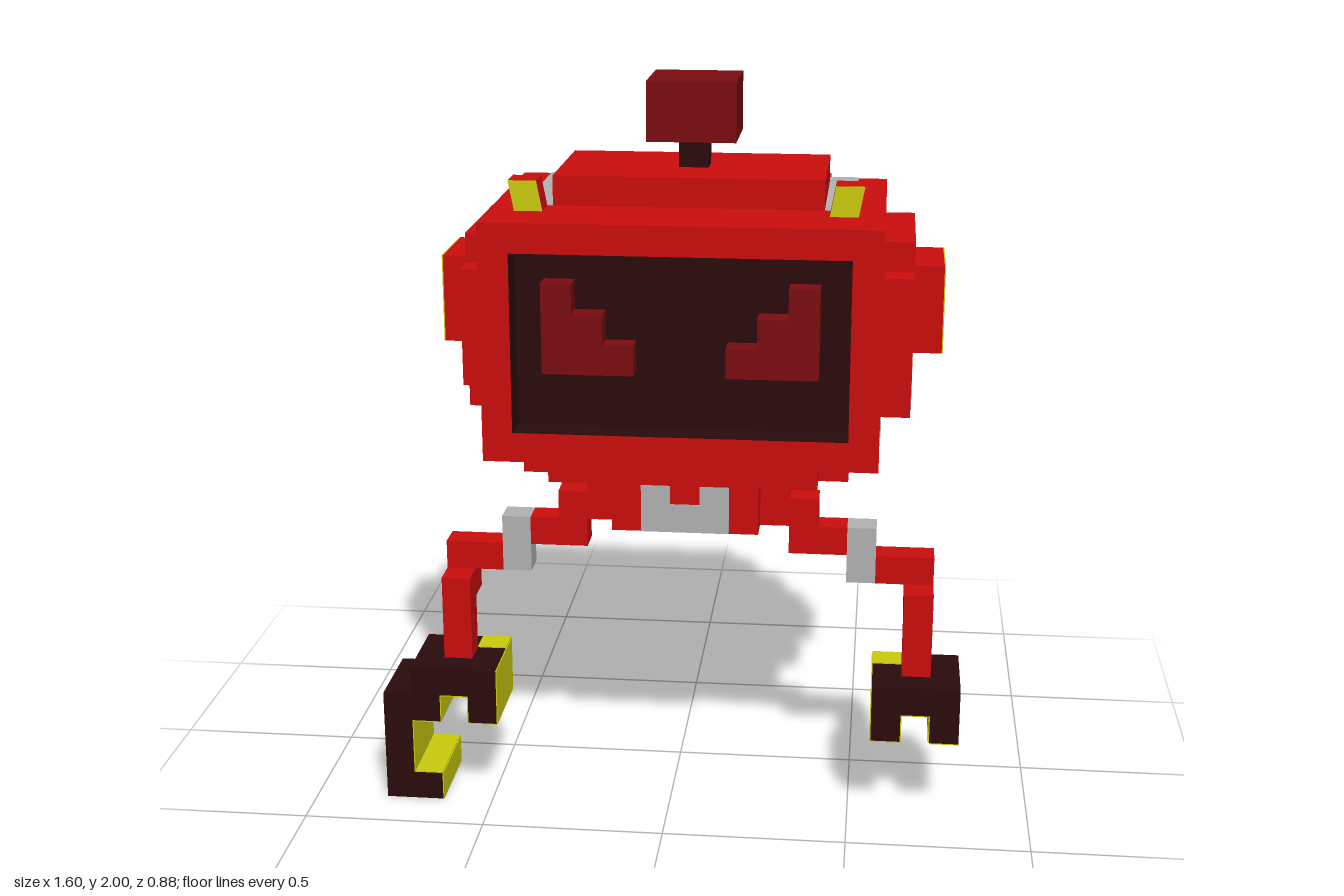
import * as THREE from 'three';

const mat = (color) => new THREE.MeshStandardMaterial({ color });
const red = mat(0xcc0d0d), dark = mat(0x2a0b0c), maroon = mat(0x7a0c10);
const yellow = mat(0xcccc0d), grey = mat(0xb3b3b3);
const E = 0.003; // thickness of painted panels
const CX = 0.04; // mirror plane of the body

export function createModel() {
  const model = new THREE.Group();
  let parent = model;

  const part = (name) => {
    parent = new THREE.Group();
    parent.name = name;
    model.add(parent);
  };
  // Box given by its limits on each axis
  const box = (name, material, [x0, x1], [y0, y1], [z0, z1]) => {
    const g = new THREE.BoxGeometry(x1 - x0, y1 - y0, z1 - z0);
    g.translate((x0 + x1) / 2, (y0 + y1) / 2, (z0 + z1) / 2);
    const m = new THREE.Mesh(g, material);
    m.name = name;
    parent.add(m);
    return m;
  };
  // Range centred on the mirror plane
  const wide = (h) => [CX - h, CX + h];
  // Range on one side, measured outward from the mirror plane
  const out = (s, a, b) => (s > 0 ? [CX + a, CX + b] : [CX - b, CX - a]);

  // Stepped head shell
  part('head');
  box('headCore', red, wide(0.52), [1.04, 1.6], [-0.36, 0.36]);
  box('headTop', red, wide(0.52), [1.6, 1.68], [-0.28, 0.36]);
  box('headTopRear', red, wide(0.36), [1.6, 1.68], [-0.36, -0.28]);
  box('backPanel', red, wide(0.44), [1.04, 1.6], [-0.44, -0.36]);
  box('sideSwellTall', red, wide(0.6), [1.12, 1.6], [-0.2, 0.2]);
  box('sideSwellWide', red, wide(0.6), [1.2, 1.52], [-0.28, 0.28]);
  box('ears', red, wide(0.68), [1.28, 1.52], [-0.12, 0.12]);
  box('roofSlab', red, wide(0.36), [1.68, 1.76], [-0.2, 0.2]);
  for (const s of [-1, 1])
    box('earPanel', yellow, out(s, 0.68, 0.68 + E), [1.28, 1.52], [-0.12, 0.12]);

  // Screen, its frame and eyes
  part('face');
  const rim = [0.36, 0.44];
  box('frameTop', red, wide(0.52), [1.6, 1.68], rim);
  box('frameBottom', red, wide(0.52), [1.04, 1.12], rim);
  box('screen', dark, wide(0.44), [1.12, 1.6], [0.36, 0.36 + E]);
  for (const y of [1.12, 1.6 - E]) box('screenLiner', dark, wide(0.44), [y, y + E], rim);
  for (const s of [-1, 1]) {
    box('frameSide', red, out(s, 0.44, 0.52), [1.12, 1.6], rim);
    box('screenLiner', dark, out(s, 0.44 - E, 0.44), [1.12, 1.6], rim);
    for (let i = 0; i < 3; i++)
      box('eyeStep', maroon, out(s, 0.12 + i * 0.08, 0.2 + i * 0.08), [1.28, 1.36 + i * 0.08], [0.36, 0.43]);
  }

  // Stepped underside
  part('lowerBody');
  box('upperTier', red, wide(0.44), [0.96, 1.04], [-0.28, 0.28]);
  box('upperTierLong', red, wide(0.36), [0.96, 1.04], [-0.36, 0.36]);
  box('lowerTier', red, wide(0.28), [0.8, 0.96], [-0.2, 0.2]);
  box('lowerTierLong', red, wide(0.2), [0.8, 0.96], [-0.28, 0.28]);

  // Grey stripes wrapping around sides and underside
  part('stripes');
  const tiers = [[0.6, 1.12, 1.28], [0.52, 1.04, 1.12], [0.44, 0.96, 1.04], [0.28, 0.8, 0.96]];
  for (const z of [-0.12, 0.04])
    for (const [h, y0, y1] of tiers)
      box('sideStripe', grey, wide(h + E), [y0 - E, y1], [z, z + 0.08]);
  // Arch and bars on the back
  const back = [-0.44 - E, -0.36];
  box('backArchTop', grey, wide(0.28), [1.44, 1.52], back);
  for (const s of [-1, 0, 1]) {
    const x = [CX + s * 0.24 - 0.04, CX + s * 0.24 + 0.04];
    const rear = s ? -0.2 : -0.28;
    box('backStripe', grey, x, [1.04 - E, s ? 1.44 : 1.36], back);
    box('backStripe', grey, x, [0.96 - E, 1.04], [-0.36 - E, rear]);
    box('backStripe', grey, x, [0.8, 0.96], [rear - E, rear + 0.02]);
  }
  // Chin badge
  box('chinBar', grey, wide(0.12), [0.8, 0.88], [0.27, 0.28 + E]);
  for (const s of [-1, 1]) {
    box('chinPost', grey, out(s, 0.04, 0.12), [0.88, 0.96], [0.27, 0.28 + E]);
    box('roofStripe', grey, out(s, 0.36, 0.44), [1.68, 1.68 + E], [-0.28, 0.2]);
  }
  box('roofStripeRear', grey, wide(0.36), [1.68, 1.68 + E], [-0.28, -0.2]);

  // Antenna
  part('antenna');
  box('antennaStalk', dark, wide(0.04), [1.76, 1.84], [-0.04, 0.04]);
  box('antennaBlock', maroon, wide(0.12), [1.84, 2], [-0.12, 0.12]);

  // Small horns leaning outward
  part('horns');
  for (const s of [-1, 1]) {
    const pieces = [
      box('horn', red, out(s, 0.375, 0.45), [1.68, 1.76], [0.2, 0.28]),
      box('hornFront', yellow, out(s, 0.375, 0.45), [1.68, 1.76], [0.28, 0.28 + E]),
    ];
    for (const m of pieces) {
      const p = m.geometry.attributes.position;
      for (let i = 0; i < p.count; i++) if (p.getY(i) > 1.72) p.setX(i, p.getX(i) + s * 0.015);
      m.geometry.computeVertexNormals();
    }
  }

  // Jointed arms with claws
  const hand = [0.12, 0.36], armZ = [0.12, 0.2];
  for (const s of [-1, 1]) {
    part(s > 0 ? 'leftArm' : 'rightArm');
    box('shoulder', red, out(s, 0.2, 0.36), [0.8, 0.88], armZ);
    box('upperArm', red, out(s, 0.28, 0.44), [0.72, 0.8], armZ);
    box('armBand', grey, out(s, 0.44, 0.52), [0.64, 0.8], armZ);
    box('elbow', red, out(s, 0.52, 0.68), [0.64, 0.72], armZ);
    box('elbowDrop', red, out(s, 0.6, 0.68), [0.56, 0.64], armZ);
    box('forearm', red, out(s, 0.6, 0.68), [0.4, 0.64], [0.2, 0.28]);

    part(s > 0 ? 'leftClaw' : 'rightClaw');
    box('palm', dark, out(s, 0.52, 0.76), [0.32, 0.4], hand);
    box('innerProng', dark, out(s, 0.52, 0.6), [0.24, 0.32], hand);
    box('outerProng', dark, out(s, 0.68, 0.76), [0.24, 0.32], hand);
    // Yellow linings
    box('palmLining', yellow, out(s, 0.6, 0.68), [0.32 - E, 0.32], hand);
    box('innerSideLining', yellow, out(s, 0.52 - E, 0.52), [0.24, 0.4], hand);
    box('innerProngLining', yellow, out(s, 0.6, 0.6 + E), [0.24, 0.32], hand);
    box('outerProngLining', yellow, out(s, 0.68 - E, 0.68), [0.24, 0.32], hand);
    box('topPatch', yellow, out(s, 0.52, 0.6), [0.4, 0.4 + E], armZ);
    for (const a of [0.52, 0.68])
      box('prongTip', yellow, out(s, a, a + 0.08), [0.24 - E, 0.24], hand);
  }

  // Long hook below the right claw
  box('hookShaft', dark, [-0.8, -0.72], [0, 0.32], hand);
  box('hookToe', dark, [-0.72, -0.64], [0, 0.08], hand);
  box('hookShaftLining', yellow, [-0.72, -0.72 + E], [0.08, 0.24], hand);
  box('hookToeTop', yellow, [-0.72, -0.64], [0.08, 0.08 + E], hand);
  box('hookToeEnd', yellow, [-0.64, -0.64 + E], [0, 0.08], hand);

  return model;
}
